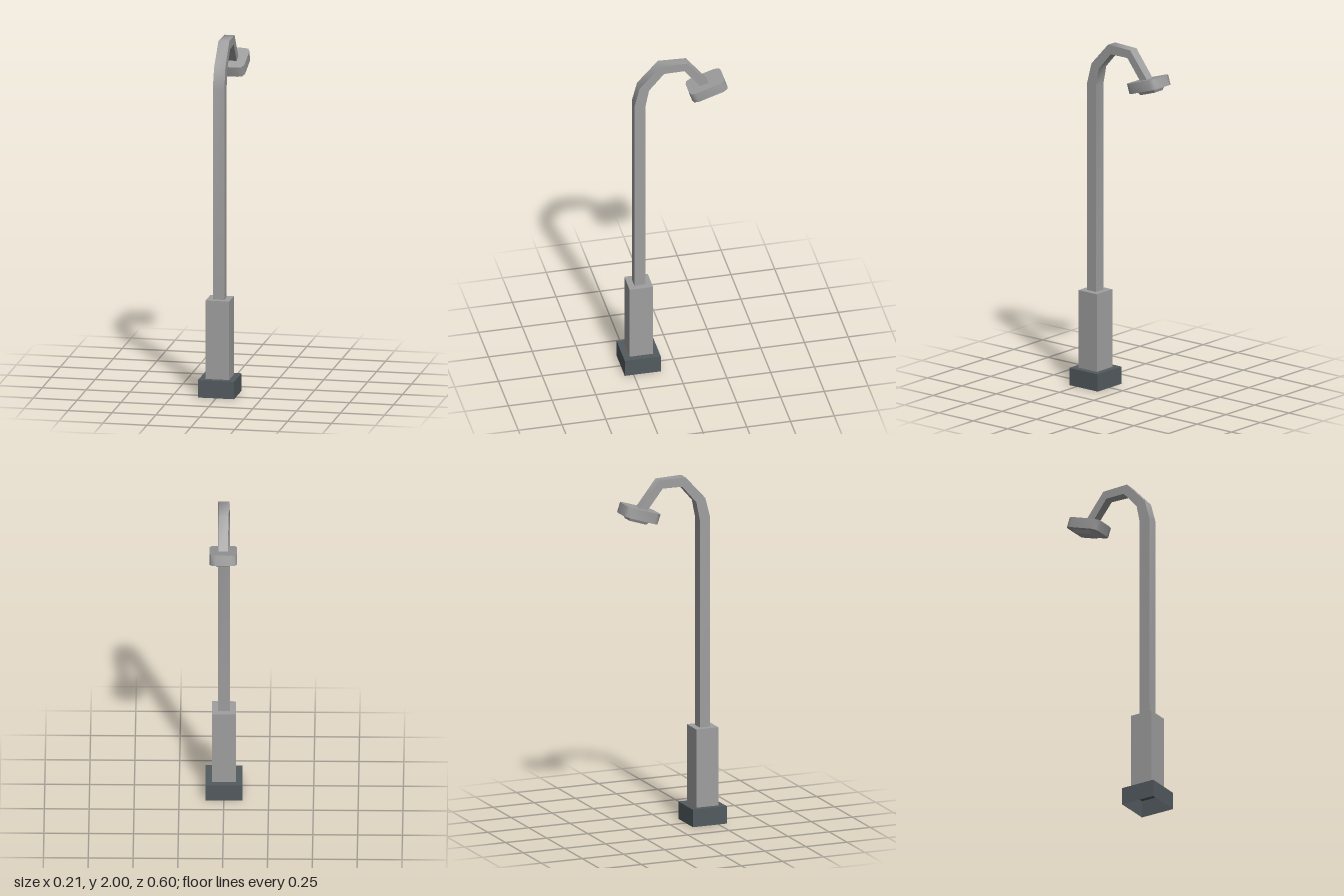
import * as THREE from 'three';
import { toCreasedNormals } from 'three/addons/utils/BufferGeometryUtils.js';

const CREASE = 1.05;

// Joins rings of four corners into an open square tube
function loftRings(rings) {
  const positions = rings.flat(2);
  const index = [];
  for (let r = 0; r < rings.length - 1; r++) {
    for (let i = 0; i < 4; i++) {
      const a = r * 4 + i, b = r * 4 + (i + 1) % 4;
      index.push(a, b, b + 4, a, b + 4, a + 4);
    }
  }
  const geo = new THREE.BufferGeometry();
  geo.setAttribute('position', new THREE.Float32BufferAttribute(positions, 3));
  geo.setIndex(index);
  return toCreasedNormals(geo, CREASE);
}

// Horizontal ring of a square tube, centred on the origin
const squareRing = (h, y) => [[-h, y, h], [h, y, h], [h, y, -h], [-h, y, -h]];

export function createModel() {
  const model = new THREE.Group();
  model.name = 'streetLamp';
  const metal = new THREE.MeshStandardMaterial({ color: 0x9f9f9f });
  metal.name = 'greyMetal';
  const footing = new THREE.MeshStandardMaterial({ color: 0x535b5f, side: THREE.DoubleSide });
  footing.name = 'darkFooting';

  const add = (parent, name, geo, mat, x = 0, y = 0, z = 0) => {
    const mesh = new THREE.Mesh(geo, mat);
    mesh.name = name;
    mesh.position.set(x, y, z);
    parent.add(mesh);
    return mesh;
  };

  const poleZ = 0.198;

  // Hollow footing, open below, its top rim closing in to the post
  add(model, 'footing', loftRings([
    squareRing(0.103, 0), squareRing(0.103, 0.1), squareRing(0.066, 0.1),
  ]), footing, 0, 0, poleZ);

  // Thick lower post
  add(model, 'lowerPost', new THREE.BoxGeometry(0.134, 0.45, 0.134), metal, 0, 0.325, poleZ);

  // Pole and bent arm: outer z, y, inner z, y, half width
  const sections = [
    [0.23, 0.54, 0.167, 0.54, 0.033],
    [0.23, 1.755, 0.167, 1.745, 0.033],
    [0.2, 1.87, 0.146, 1.85, 0.032],
    [0.081, 2.0, 0.06, 1.948, 0.031],
    [-0.077, 1.996, -0.057, 1.948, 0.028],
    [-0.208, 1.832, -0.162, 1.812, 0.025],
  ];
  add(model, 'poleAndArm', loftRings(sections.map(([oz, oy, iz, iy, w]) => [
    [-w, oy, oz], [w, oy, oz], [w, iy, iz], [-w, iy, iz],
  ])), metal);

  // Tilted lamp head with cut corners
  const head = new THREE.Group();
  head.name = 'lampHead';
  head.position.set(0, 1.814, -0.19);
  head.rotation.x = 0.314;
  model.add(head);

  const thick = 0.06;
  const quarter = [[0.077, 0.073], [0.066, 0.099], [0.04, 0.106]];
  const back = [...quarter].reverse();
  const outline = [
    ...quarter,
    ...back.map(([x, y]) => [-x, y]),
    ...quarter.map(([x, y]) => [-x, -y]),
    ...back.map(([x, y]) => [x, -y]),
  ].map(([x, y]) => new THREE.Vector2(x, y));
  const shell = new THREE.ExtrudeGeometry(new THREE.Shape(outline), { depth: thick, bevelEnabled: false });
  shell.translate(0, 0, -thick / 2).rotateX(-Math.PI / 2);
  add(head, 'lampShell', toCreasedNormals(shell, CREASE), metal);

  // Tapered light panel below the shell
  const panel = new THREE.BoxGeometry(0.092, 0.022, 0.132);
  const p = panel.attributes.position;
  for (let i = 0; i < p.count; i++) {
    if (p.getY(i) < 0) p.setXYZ(i, p.getX(i) * 0.78, p.getY(i), p.getZ(i) * 0.8);
  }
  panel.computeVertexNormals();
  add(head, 'lightPanel', panel, metal, 0, -thick / 2 - 0.008, -0.006);

  return model;
}
